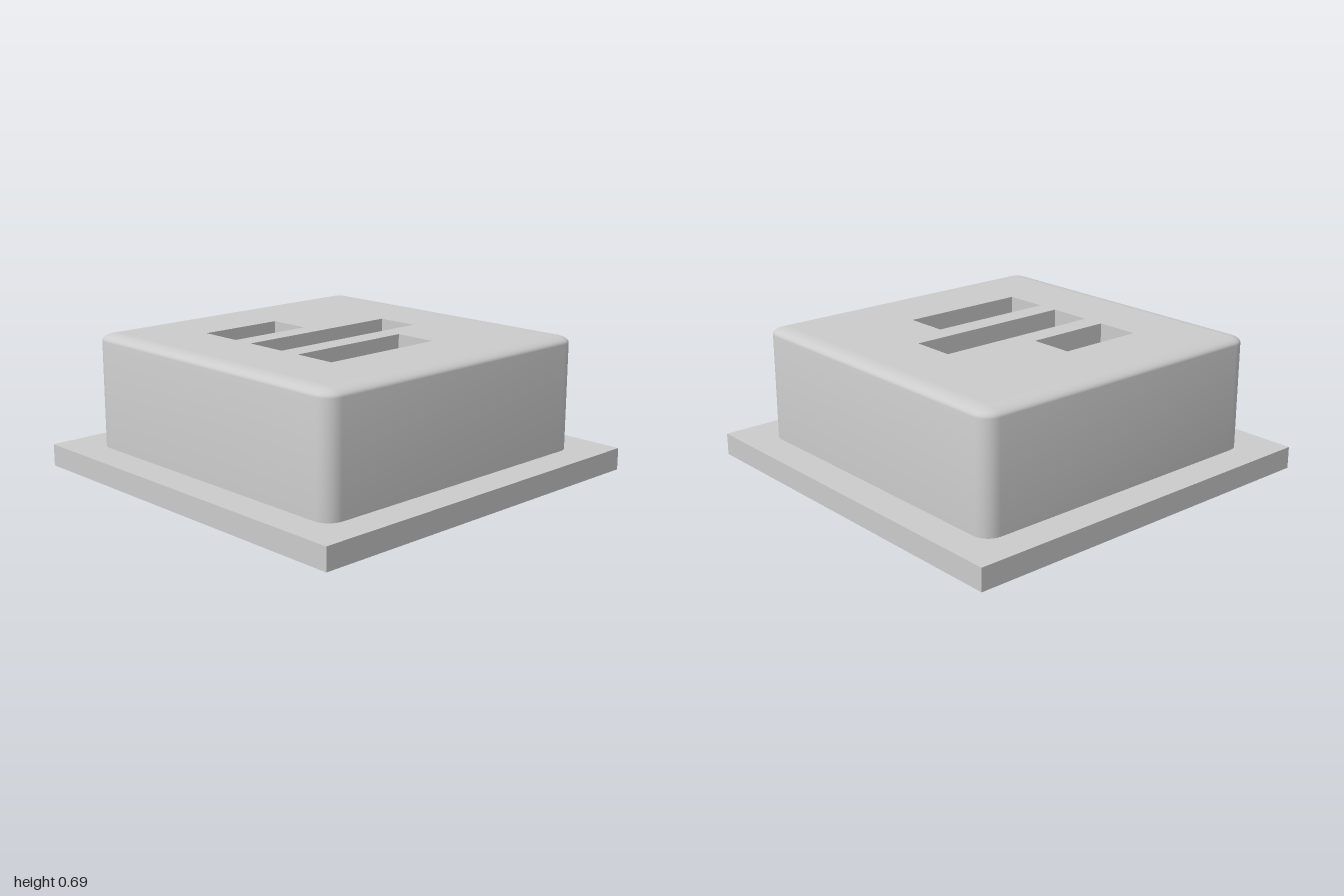
import * as THREE from 'three';
import { toCreasedNormals } from 'three/addons/utils/BufferGeometryUtils.js';

const U = 1 / 18;              // design unit
const T = 2 * U;               // wall, roof and flange thickness
const HEIGHT = 0.685;
const BODY = 15 * U;           // half width of the body
const CAVITY = 13 * U;         // half width of the cavity
const ROUND = 1.5 * U;         // corner radius
const RIM = 0.035;             // height of the rounded top edge
const STEPS = 8;

const material = new THREE.MeshStandardMaterial({ color: 0xcccccc, side: THREE.DoubleSide });

function rectPath(x0, z0, x1, z1, Type = THREE.Path) {
  // shape y becomes -z once laid flat
  return new Type([[x0, -z1], [x1, -z1], [x1, -z0], [x0, -z0]].map(p => new THREE.Vector2(...p)));
}

// Horizontal plate with rectangular holes
function plate(name, half, y, holes) {
  const shape = rectPath(-half, -half, half, half, THREE.Shape);
  shape.holes = holes.map(h => rectPath(...h));
  const geometry = new THREE.ExtrudeGeometry(shape, { depth: T, bevelEnabled: false });
  geometry.rotateX(-Math.PI / 2).translate(0, y, 0);
  const mesh = new THREE.Mesh(geometry, material);
  mesh.name = name;
  return mesh;
}

// Square ring with rounded corners at height y
function ring(half, radius, y) {
  const points = [];
  for (let q = 0; q < 4; q++) {
    const mid = (q + 0.5) * Math.PI / 2;
    const cx = Math.sign(Math.cos(mid)) * (half - radius);
    const cz = Math.sign(Math.sin(mid)) * (half - radius);
    for (let i = 0; i <= STEPS; i++) {
      const a = (q + i / STEPS) * Math.PI / 2;
      points.push([cx + radius * Math.cos(a), y, cz + radius * Math.sin(a)]);
    }
  }
  return points;
}

function loft(rings) {
  const n = rings[0].length, index = [];
  for (let r = 0; r < rings.length - 1; r++) {
    for (let j = 0; j < n; j++) {
      const a = r * n + j, b = r * n + (j + 1) % n;
      index.push(a, a + n, b, b, a + n, b + n);
    }
  }
  const geometry = new THREE.BufferGeometry();
  geometry.setAttribute('position', new THREE.Float32BufferAttribute(rings.flat(2), 3));
  geometry.setIndex(index);
  return toCreasedNormals(geometry, 0.6);
}

export function createModel() {
  const group = new THREE.Group();
  group.name = 'slottedCover';

  // Square flange around the open underside
  group.add(plate('flange', 1, 0, [[-CAVITY, -CAVITY, CAVITY, CAVITY]]));

  // Walls: up the outside, over the rounded rim, down the cavity
  const rings = [ring(BODY, ROUND, T)];
  for (let i = 0; i <= STEPS; i++) {
    const t = i / STEPS * Math.PI / 2;
    const inset = ROUND * (1 - Math.cos(t));
    rings.push(ring(BODY - inset, ROUND - inset, HEIGHT - RIM + RIM * Math.sin(t)));
  }
  rings.push(ring(CAVITY, 0, HEIGHT - T), ring(CAVITY, 0, T));
  const walls = new THREE.Mesh(loft(rings), material);
  walls.name = 'walls';
  group.add(walls);

  // Roof with three slots of different length, aligned on one side
  const slots = [[-8, 0], [-2, 8], [4, 4]].map(([z, end]) => [-8 * U, z * U, end * U, (z + 4) * U]);
  group.add(plate('slottedRoof', BODY - ROUND, HEIGHT - T, slots));

  return group;
}
